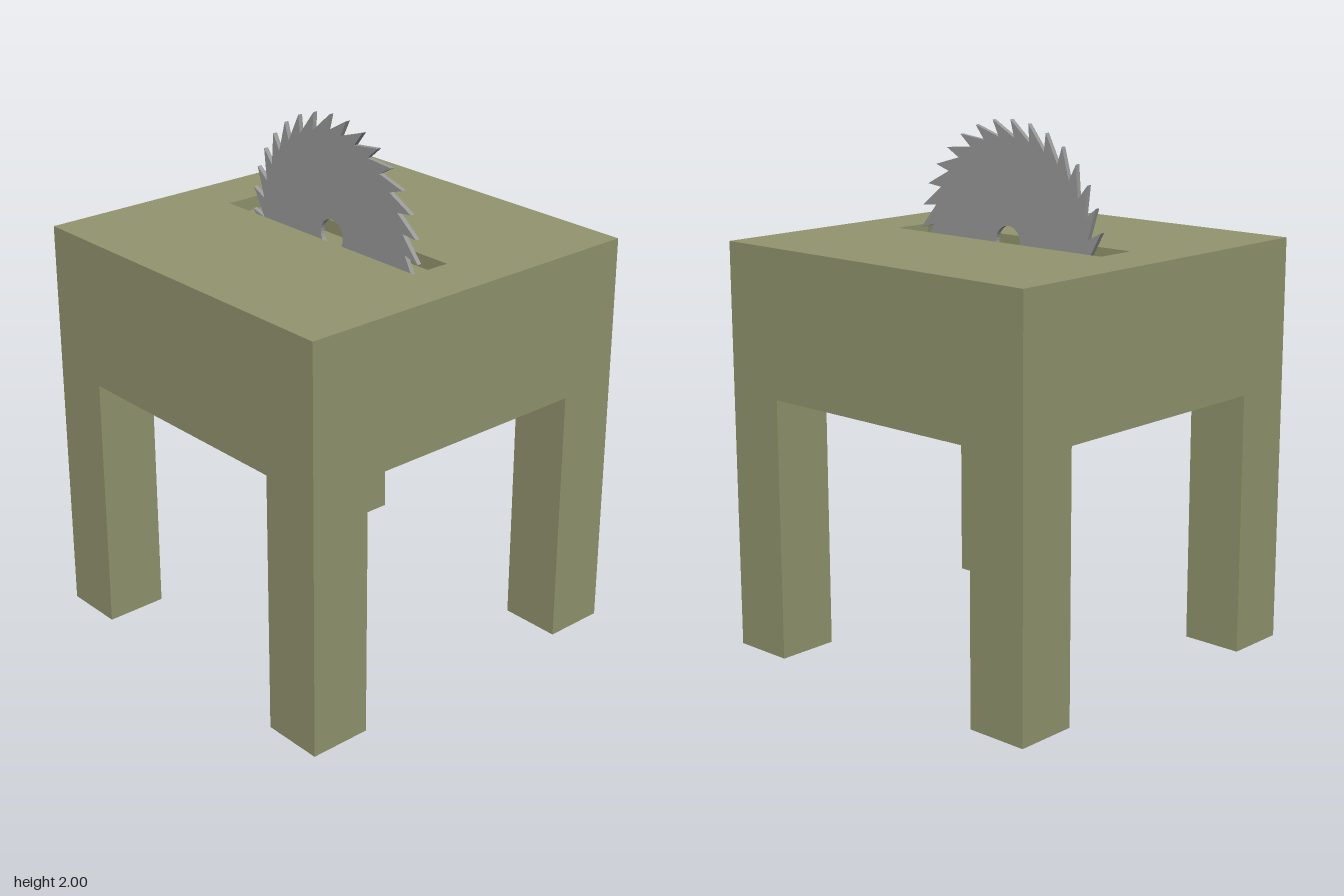
import * as THREE from 'three';

const HALF = 0.725, TOP = 1.56, UNDER = 1.0, LEG = 0.24, SLOT_DEPTH = 0.05;

function rectangle(PathType, hx, hy) {
  const p = new PathType();
  p.moveTo(-hx, -hy);
  p.lineTo(hx, -hy);
  p.lineTo(hx, hy);
  p.lineTo(-hx, hy);
  p.closePath();
  return p;
}

// Saw disc outline: each long back rises to a tip that hooks over the next gullet
function bladeShape(teeth, tipRadius, rootRadius, boreRadius) {
  const shape = new THREE.Shape();
  const step = (Math.PI * 2) / teeth;
  const start = THREE.MathUtils.degToRad(88.6);
  const hook = THREE.MathUtils.degToRad(3);
  for (let i = 0; i < teeth; i++) {
    const a = start + i * step;
    const tip = [Math.cos(a) * tipRadius, Math.sin(a) * tipRadius];
    const root = [Math.cos(a - hook) * rootRadius, Math.sin(a - hook) * rootRadius];
    if (i === 0) shape.moveTo(...tip);
    else shape.lineTo(...tip);
    shape.lineTo(...root);
  }
  shape.closePath();
  shape.holes.push(new THREE.Path().absarc(0, 0, boreRadius, 0, Math.PI * 2, true));
  return shape;
}

export function createModel() {
  const group = new THREE.Group();
  const olive = new THREE.MeshStandardMaterial({ color: 0x92946f });
  const steel = new THREE.MeshStandardMaterial({ color: 0x999999 });

  const add = (name, geometry, material, x = 0, y = 0, z = 0) => {
    const mesh = new THREE.Mesh(geometry, material);
    mesh.name = name;
    mesh.position.set(x, y, z);
    group.add(mesh);
    return mesh;
  };

  // Table body, whose upper face is the slot floor
  const bodyHeight = TOP - SLOT_DEPTH - UNDER;
  add('tableBody', new THREE.BoxGeometry(HALF * 2, bodyHeight, HALF * 2), olive,
    0, UNDER + bodyHeight / 2, 0);

  // Table top with the blade slot cut through it
  const topShape = rectangle(THREE.Shape, HALF, HALF);
  topShape.holes.push(rectangle(THREE.Path, 0.08, 0.505));
  const top = new THREE.ExtrudeGeometry(topShape, { depth: SLOT_DEPTH, bevelEnabled: false });
  top.rotateX(-Math.PI / 2);
  add('tableTop', top, olive, 0, TOP - SLOT_DEPTH, 0);

  // Four square legs at the corners
  const legGeometry = new THREE.BoxGeometry(LEG, UNDER, LEG);
  const legAt = HALF - LEG / 2;
  for (const [side, sx] of [['left', 1], ['right', -1]])
    for (const [end, sz] of [['Front', 1], ['Back', -1]])
      add(`${side}${end}Leg`, legGeometry, olive, sx * legAt, UNDER / 2, sz * legAt);

  // Saw blade standing in the slot, half sunk into the table
  const thickness = 0.018;
  const blade = new THREE.ExtrudeGeometry(bladeShape(32, 0.45, 0.385, 0.06), {
    depth: thickness, bevelEnabled: false, curveSegments: 16,
  });
  blade.translate(0, 0, -thickness / 2);
  blade.rotateY(Math.PI / 2);
  add('sawBlade', blade, steel, 0, 1.55, 0);

  return group;
}
